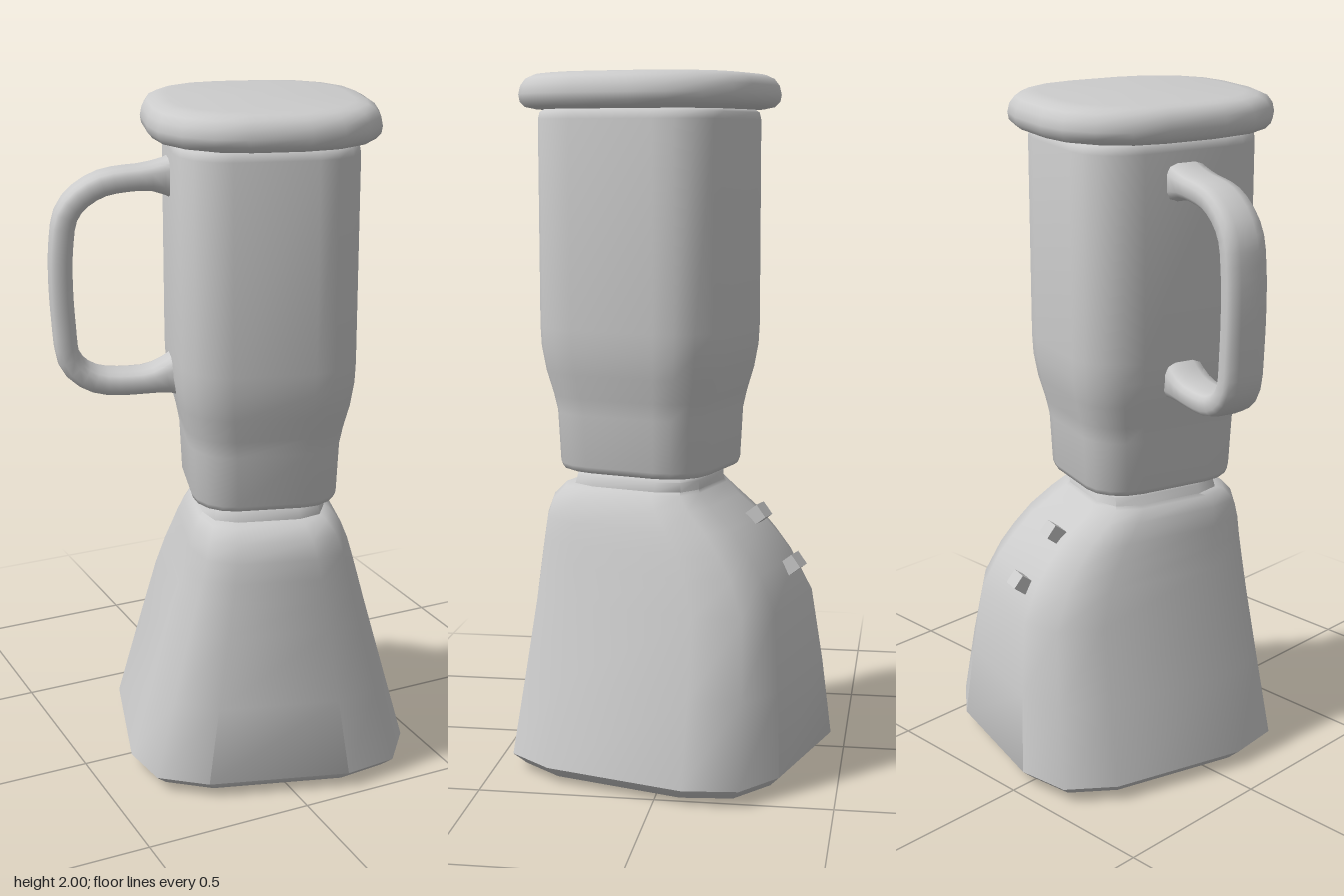
import * as THREE from 'three';
import { toCreasedNormals } from 'three/addons/utils/BufferGeometryUtils.js';

const material = new THREE.MeshStandardMaterial({ color: 0xcccccc });

// Unit square with rounded corners, as [x, z] pairs
function roundedSquare(r, steps) {
  const points = [];
  [[1, 1], [-1, 1], [-1, -1], [1, -1]].forEach(([sx, sz], k) => {
    for (let i = 0; i <= steps; i++) {
      const t = (k + i / steps) * Math.PI / 2;
      points.push([sx * (1 - r) + r * Math.cos(t), sz * (1 - r) + r * Math.sin(t)]);
    }
  });
  return points;
}

// Horizontal ring: half width a, from z = back to z = front
function ring(outline, y, a, front, back, cx = 0) {
  const mid = (front + back) / 2, half = (front - back) / 2;
  return outline.map(([x, z]) => new THREE.Vector3(cx + x * a, y, mid + z * half));
}

// Closed skin through a series of rings, capped at both ends
function loft(name, rings, crease) {
  const n = rings[0].length, last = (rings.length - 1) * n;
  const points = rings.flat(), index = [];
  for (let i = 0; i < rings.length - 1; i++) {
    for (let j = 0; j < n; j++) {
      const a = i * n + j, b = i * n + (j + 1) % n;
      index.push(a, a + n, b, b, a + n, b + n);
    }
  }
  const centre = (r) => r.reduce((s, p) => s.add(p), new THREE.Vector3()).divideScalar(n);
  const c0 = points.push(centre(rings[0])) - 1;
  const c1 = points.push(centre(rings[rings.length - 1])) - 1;
  for (let j = 0; j < n; j++) {
    const k = (j + 1) % n;
    index.push(c0, j, k, c1, last + k, last + j);
  }
  const geometry = new THREE.BufferGeometry().setFromPoints(points);
  geometry.setIndex(index);
  const mesh = new THREE.Mesh(toCreasedNormals(geometry, crease), material);
  mesh.name = name;
  return mesh;
}

export function createModel() {
  const group = new THREE.Group();
  group.name = 'blender';
  const body = new THREE.Group();
  body.name = 'body';
  body.position.x = 0.08;
  body.rotation.y = -THREE.MathUtils.degToRad(16.7);
  group.add(body);

  const CX = -0.015, CZ = 0.088; // axis of the jug

  // Motor base: tapering sides, rounded sloping back, collar on top
  const baseOutline = roundedSquare(0.5, 2);
  body.add(loft('motorBase', [
    [0, 0.35, 0.35, -0.35, 0],
    [0.012, 0.385, 0.385, -0.385, 0],
    [0.045, 0.418, 0.418, -0.418, 0],
    [0.28, 0.354, 0.4, -0.4, 0],
    [0.5, 0.294, 0.384, -0.375, 0],
    [0.6, 0.267, 0.376, -0.325, 0],
    [0.66, 0.25, 0.371, -0.28, 0],
    [0.72, 0.234, 0.366, -0.225, -0.002],
    [0.775, 0.216, 0.35, -0.155, -0.006],
    [0.81, 0.193, 0.318, -0.115, -0.012],
    [0.818, 0.18, 0.29, -0.108, CX],
    [0.845, 0.176, 0.283, -0.107, CX],
    [0.856, 0.165, 0.272, -0.096, CX],
    [0.864, 0.13, 0.24, -0.064, CX],
  ].map(([y, a, f, b, cx]) => ring(baseOutline, y, a, f, b, cx)), 0.9));

  // Jug: scaled copies of one outline up its height
  const stack = (outline, profile, a, b) => profile.map(([y, s]) =>
    ring(outline, y, a * s, CZ + b * s, CZ - b * s, CX));
  body.add(loft('jug', stack(roundedSquare(0.55, 4), [
    [0.86, 0.76], [0.865, 0.805], [0.88, 0.825], [1.03, 0.85], [1.08, 0.885],
    [1.15, 0.95], [1.22, 0.99], [1.28, 1], [1.87, 1], [1.89, 0.985], [1.9, 0.94],
  ], 0.257, 0.287), 0.9));

  // Lid with a rounded rim
  body.add(loft('lid', stack(roundedSquare(0.75, 4), [
    [1.898, 0.86], [1.905, 0.95], [1.92, 0.99], [1.94, 1], [1.965, 0.985],
    [1.985, 0.945], [1.996, 0.88], [2, 0.78],
  ], 0.322, 0.357), 0.9));

  // Handle: flattened section swept along a curve, flaring into the jug
  const path = new THREE.CatmullRomCurve3([
    [-0.25, 1.785], [-0.34, 1.785], [-0.47, 1.765], [-0.55, 1.7], [-0.573, 1.6],
    [-0.573, 1.38], [-0.555, 1.26], [-0.49, 1.208], [-0.36, 1.198], [-0.25, 1.215],
  ].map(([x, y]) => new THREE.Vector3(x, y, CZ)));
  const handleOutline = roundedSquare(0.55, 2);
  const handleRings = [];
  const steps = 32;
  for (let i = 0; i <= steps; i++) {
    const t = i / steps;
    const p = path.getPointAt(t), d = path.getTangentAt(t);
    const side = new THREE.Vector3(d.y, -d.x, 0);
    const flare = 1 + 0.9 * Math.max(0, 1 - Math.min(t, 1 - t) / 0.1) ** 2;
    handleRings.push(handleOutline.map(([u, v]) =>
      p.clone().addScaledVector(side, u * 0.033 * flare).add(new THREE.Vector3(0, 0, v * 0.062))));
  }
  body.add(loft('handle', handleRings, 0.9));

  // Two push buttons on the sloping back
  [[0.73, -0.235], [0.592, -0.345]].forEach(([y, z], i) => {
    const button = new THREE.Mesh(new THREE.BoxGeometry(0.055, 0.05, 0.045), material);
    button.name = 'button' + (i + 1);
    button.position.set(-0.067, y, z);
    button.rotation.x = -0.91;
    body.add(button);
  });

  return group;
}
